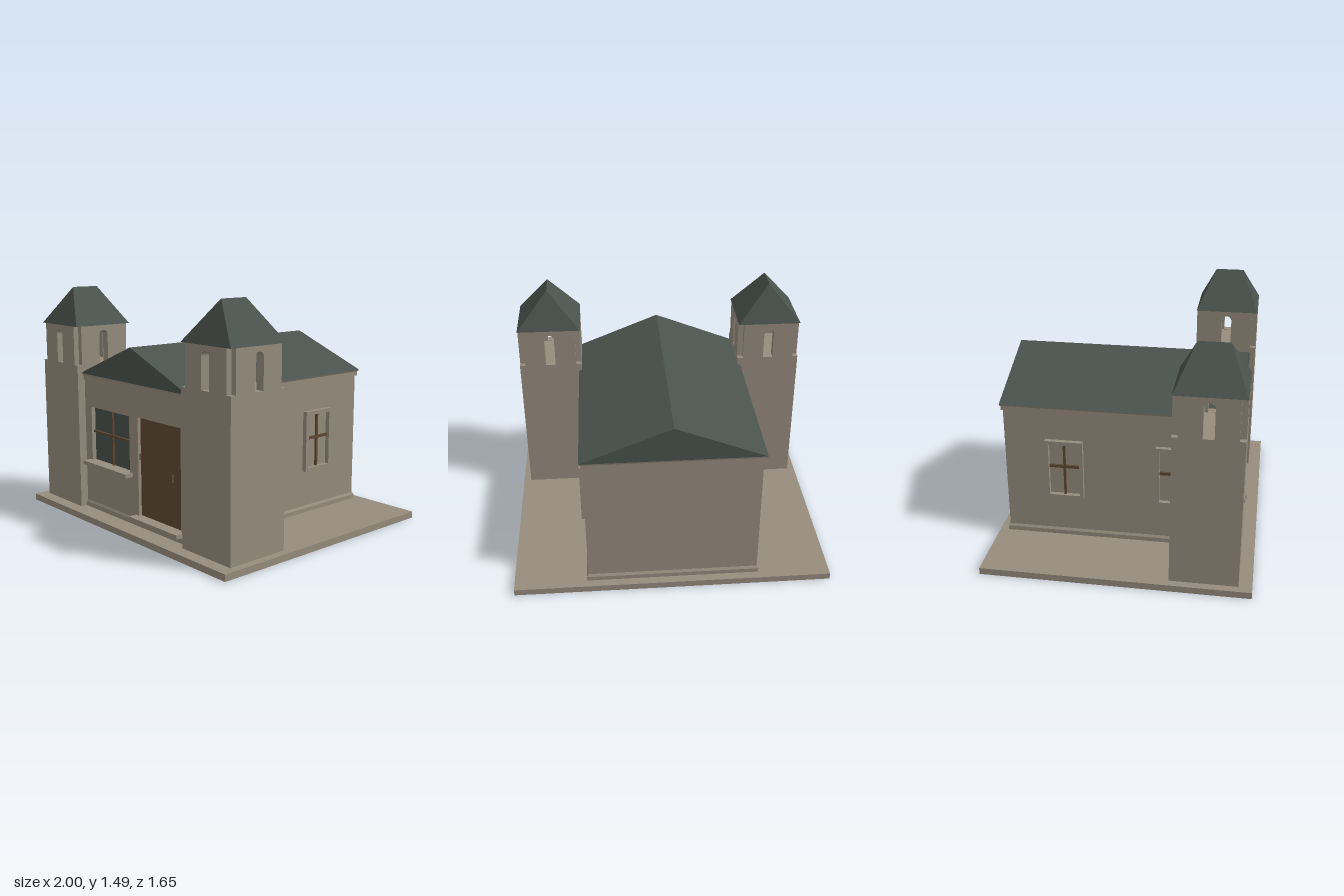
import * as THREE from 'three';

const stone = new THREE.MeshStandardMaterial({ name: 'stone', color: 0x978d7e });
const slate = new THREE.MeshStandardMaterial({ name: 'slate', color: 0x4a524d });
const wood = new THREE.MeshStandardMaterial({ name: 'wood', color: 0x5f4833 });

function add(parent, name, geometry, material) {
  const mesh = new THREE.Mesh(geometry, material);
  mesh.name = name;
  parent.add(mesh);
  return mesh;
}

// Box given by its min and max on each axis
function box(parent, name, material, x0, x1, y0, y1, z0, z1) {
  const mesh = add(parent, name, new THREE.BoxGeometry(x1 - x0, y1 - y0, z1 - z0), material);
  mesh.position.set((x0 + x1) / 2, (y0 + y1) / 2, (z0 + z1) / 2);
  return mesh;
}

function rect(Type, x0, x1, y0, y1) {
  const s = new Type();
  s.moveTo(x0, y0);
  s.lineTo(x1, y0);
  s.lineTo(x1, y1);
  s.lineTo(x0, y1);
  s.closePath();
  return s;
}

function plate(shape, depth) {
  return new THREE.ExtrudeGeometry(shape, { depth, bevelEnabled: false, curveSegments: 10 });
}

// Roof with its ridge along z; a ridge as long as the base makes plain gables
function roofGeometry(w, d, ridge, h) {
  const a = [-w, 0, d], b = [w, 0, d], c = [w, 0, -d], e = [-w, 0, -d];
  const f = [0, h, ridge], g = [0, h, -ridge];
  const faces = [a, b, f, c, e, g, b, c, g, b, g, f, e, a, f, e, f, g, a, e, c, a, c, b];
  const geometry = new THREE.BufferGeometry();
  geometry.setAttribute('position', new THREE.Float32BufferAttribute(faces.flat(), 3));
  geometry.computeVertexNormals();
  return geometry;
}

// Rectangular band whose top is drawn in or out to make a chamfer
function taperedBand(parent, name, w0, w1, y0, y1, zc, d0, d1) {
  const geometry = new THREE.BoxGeometry(2, y1 - y0, 2);
  const p = geometry.attributes.position;
  for (let i = 0; i < p.count; i++) {
    const top = p.getY(i) > 0;
    p.setX(i, p.getX(i) * (top ? w1 : w0));
    p.setZ(i, p.getZ(i) * (top ? d1 : d0));
  }
  geometry.computeVertexNormals();
  add(parent, name, geometry, stone).position.set(0, (y0 + y1) / 2, zc);
}

function createHall() {
  const hall = new THREE.Group();
  hall.name = 'hall';
  box(hall, 'hallBody', stone, -0.535, 0.535, 0.04, 0.94, -0.762, 0.66);

  // Front wall pierced for the window and the door
  const wall = rect(THREE.Shape, -0.535, 0.535, 0.04, 0.94);
  wall.holes.push(rect(THREE.Path, -0.463, -0.045, 0.37, 0.727));
  wall.holes.push(rect(THREE.Path, 0.045, 0.462, 0.107, 0.735));
  add(hall, 'frontWall', plate(wall, 0.033), stone).position.z = 0.66;

  // Plinth and cornice around the walls
  const zc = -0.035;
  taperedBand(hall, 'plinth', 0.545, 0.545, 0.04, 0.07, zc, 0.738, 0.738);
  taperedBand(hall, 'plinthChamfer', 0.545, 0.535, 0.07, 0.085, zc, 0.738, 0.728);
  taperedBand(hall, 'cornice', 0.545, 0.545, 0.902, 0.93, zc, 0.738, 0.738);
  taperedBand(hall, 'eaves', 0.548, 0.555, 0.93, 0.942, zc, 0.741, 0.744);

  add(hall, 'hallRoof', roofGeometry(0.555, 0.745, 0.745, 0.22), slate).position.set(0, 0.942, zc);

  // Front window
  box(hall, 'windowPane', slate, -0.463, -0.045, 0.37, 0.727, 0.66, 0.665);
  box(hall, 'windowUpright', wood, -0.258, -0.246, 0.37, 0.727, 0.664, 0.68);
  box(hall, 'windowCrossbar', wood, -0.463, -0.045, 0.557, 0.57, 0.664, 0.68);
  box(hall, 'windowSill', stone, -0.49, -0.013, 0.345, 0.37, 0.66, 0.75);

  // Door
  box(hall, 'door', wood, 0.045, 0.462, 0.107, 0.735, 0.66, 0.672);
  box(hall, 'doorHandle', wood, 0.363, 0.371, 0.385, 0.432, 0.672, 0.688);
  box(hall, 'doorHinge', wood, 0.045, 0.052, 0.465, 0.505, 0.672, 0.684);
  box(hall, 'doorStep', stone, 0.013, 0.489, 0.083, 0.107, 0.66, 0.75);
  return hall;
}

// Framed window facing +z, centred on the origin
function createSideWindow() {
  const group = new THREE.Group();
  group.name = 'sideWindow';
  const frame = rect(THREE.Shape, -0.12, 0.12, -0.198, 0.198);
  frame.holes.push(rect(THREE.Path, -0.097, 0.097, -0.176, 0.174));
  add(group, 'windowFrame', plate(frame, 0.03), stone);
  box(group, 'windowUpright', wood, -0.007, 0.007, -0.176, 0.174, 0, 0.014);
  box(group, 'windowCrossbar', wood, -0.097, 0.097, 0.01, 0.028, 0, 0.014);
  return group;
}

function createTower() {
  const tower = new THREE.Group();
  tower.name = 'tower';
  const half = 0.2075;
  box(tower, 'towerShaft', stone, -half, half, 0.04, 0.995, -half, half);

  // Four belfry walls with arched openings, leaving notched corners
  const wall = rect(THREE.Shape, -0.172, 0.172, 0.995, 1.247);
  const arch = new THREE.Path();
  arch.moveTo(-0.033, 0.996);
  arch.lineTo(0.033, 0.996);
  arch.lineTo(0.033, 1.182);
  arch.absarc(0, 1.182, 0.033, 0, Math.PI, false);
  arch.closePath();
  wall.holes.push(arch);
  const geometry = plate(wall, 0.055);
  geometry.translate(0, 0, half - 0.055);
  for (let i = 0; i < 4; i++) {
    add(tower, 'belfryWall', geometry, stone).rotation.y = i * Math.PI / 2;
  }

  add(tower, 'towerRoof', roofGeometry(0.209, 0.209, 0.093, 0.245), slate).position.y = 1.247;
  return tower;
}

export function createModel() {
  const model = new THREE.Group();
  model.name = 'chapel';
  box(model, 'base', stone, -1, 1, 0, 0.042, -0.827, 0.827);
  model.add(createHall());

  for (const side of [-1, 1]) {
    const tower = createTower();
    tower.position.set(side * 0.743, 0, 0.5375);
    model.add(tower);
    for (const z of [-0.382, 0.315]) {
      const win = createSideWindow();
      win.position.set(side * 0.535, 0.52, z);
      win.rotation.y = side * Math.PI / 2;
      model.add(win);
    }
  }
  return model;
}
